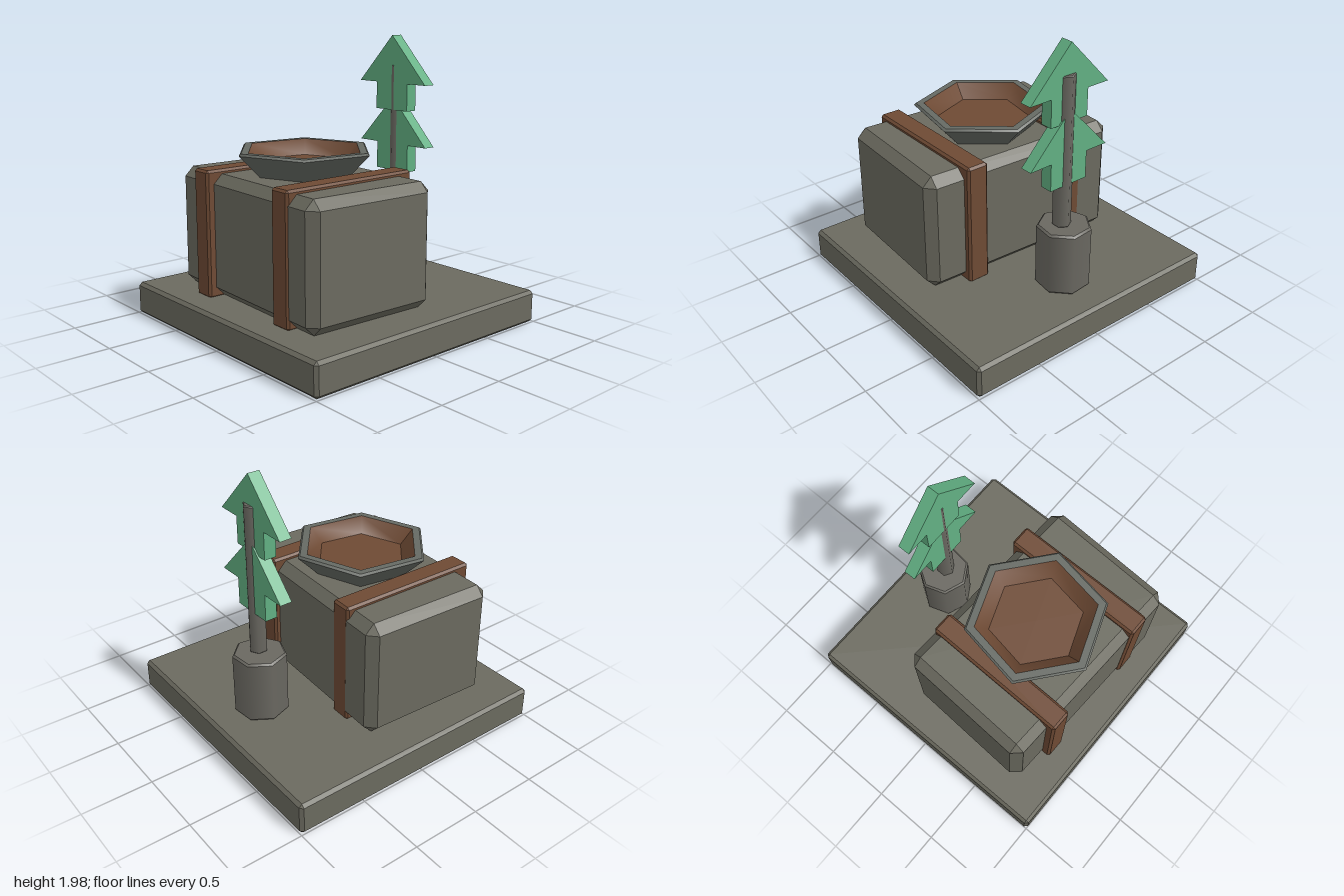
import * as THREE from 'three';
import { ConvexGeometry } from 'three/addons/geometries/ConvexGeometry.js';
import { mergeGeometries } from 'three/addons/utils/BufferGeometryUtils.js';

const mat = (name, color) => {
  const m = new THREE.MeshStandardMaterial({ color });
  m.name = name;
  return m;
};

// Box with all edges chamfered by c, resting on y = 0
function chamferBox(w, h, d, c) {
  const pts = [];
  for (const sx of [-1, 1]) for (const sy of [-1, 1]) for (const sz of [-1, 1]) {
    for (const [cx, cy, cz] of [[0, c, c], [c, 0, c], [c, c, 0]]) {
      pts.push(new THREE.Vector3(sx * (w / 2 - cx), h / 2 + sy * (h / 2 - cy), sz * (d / 2 - cz)));
    }
  }
  return new ConvexGeometry(pts);
}

// Open prism wall between two rings
function wall(rTop, rBottom, y0, y1, sides, turn) {
  return new THREE.CylinderGeometry(rTop, rBottom, y1 - y0, sides, 1, true, turn)
    .translate(0, (y0 + y1) / 2, 0);
}

// Flat disc or ring facing up or down, lined up with wall()
function cap(rInner, rOuter, y, sides, turn, up = true) {
  const g = rInner > 0
    ? new THREE.RingGeometry(rInner, rOuter, sides, 1)
    : new THREE.CircleGeometry(rOuter, sides);
  g.rotateX(up ? -Math.PI / 2 : Math.PI / 2);
  return g.rotateY(turn - Math.PI / 2).translate(0, y, 0);
}

// Solid prism with chamfered rims
function drum(r, h, c, sides, turn) {
  return mergeGeometries([
    wall(r, r - c, 0, c, sides, turn),
    wall(r, r, c, h - c, sides, turn),
    wall(r - c, r, h - c, h, sides, turn),
    cap(0, r - c, h, sides, turn),
    wall(r - c, r - c, -0.002, 0, sides, turn),
  ]);
}

export function createModel() {
  const root = new THREE.Group();
  root.name = 'planterScene';
  const stone = mat('stone', 0x6b6a5f);
  const rimStone = mat('rimStone', 0x666a64);
  const bark = mat('greyBark', 0x6a6861);
  const leather = mat('brown', 0x6e4a34);
  const leaf = mat('leafGreen', 0x62b083);

  const add = (name, geometry, material, x = 0, y = 0, z = 0, turn = 0, parent = root) => {
    const mesh = new THREE.Mesh(geometry, material);
    mesh.name = name;
    mesh.position.set(x, y, z);
    mesh.rotation.y = turn;
    parent.add(mesh);
    return mesh;
  };

  // Base slab and the slightly turned block
  add('baseSlab', chamferBox(2, 0.23, 2, 0.022), stone);
  add('block', chamferBox(1.53, 0.85, 1.0, 0.065), stone, -0.012, 0.23, 0.27, -0.046);

  // Straps around the block
  add('rightStrap', chamferBox(0.16, 0.89, 1.06, 0.016), leather, -0.422, 0.22, 0.279, -0.018);
  add('leftStrap', chamferBox(0.162, 0.89, 1.06, 0.016), leather, 0.419, 0.22, 0.275, -0.002);

  // Six-sided bowl
  const bowl = new THREE.Group();
  bowl.name = 'bowl';
  bowl.position.set(-0.012, 0, 0.248);
  root.add(bowl);
  const turn = -0.165;
  add('bowlOutside', mergeGeometries([
    wall(0.49, 0.32, 1.06, 1.235, 6, turn),
    wall(0.475, 0.49, 1.235, 1.25, 6, turn),
    cap(0.42, 0.475, 1.25, 6, turn),
    cap(0, 0.32, 1.06, 6, turn, false),
  ]), rimStone, 0, 0, 0, 0, bowl);

  // Inner wall, with its faces turned inward
  const inner = wall(0.42, 0.325, 1.15, 1.25, 6, turn);
  const index = inner.index;
  for (let i = 0; i < index.count; i += 3) {
    const a = index.getX(i);
    index.setX(i, index.getX(i + 1));
    index.setX(i + 1, a);
  }
  inner.computeVertexNormals();
  add('bowlInside', mergeGeometries([inner, cap(0, 0.325, 1.15, 6, turn)]), leather, 0, 0, 0, 0, bowl);

  // Tree: pot, trunk and two arrow-shaped foliage plates
  const tree = new THREE.Group();
  tree.name = 'tree';
  root.add(tree);
  add('pot', drum(0.188, 0.46, 0.014, 7, 0.1), bark, -0.01, 0.23, -0.622, 0, tree);
  add('trunk', drum(0.064, 1.08, 0.007, 6, 0), bark, 0.01, 0.69, -0.616, 0, tree);

  const outline = new THREE.Shape([
    [0, 0.535], [-0.325, 0.195], [-0.153, 0.195], [-0.153, 0],
    [0.153, 0], [0.153, 0.195], [0.325, 0.195],
  ].map(([x, y]) => new THREE.Vector2(x, y)));
  const plate = new THREE.ExtrudeGeometry(outline, { depth: 0.088, bevelEnabled: false });
  plate.translate(0, 0, -0.044);
  add('upperFoliage', plate, leaf, 0, 1.445, -0.602, 0.01, tree);
  add('lowerFoliage', plate, leaf, 0, 1.003, -0.613, 0.016, tree);

  return root;
}
